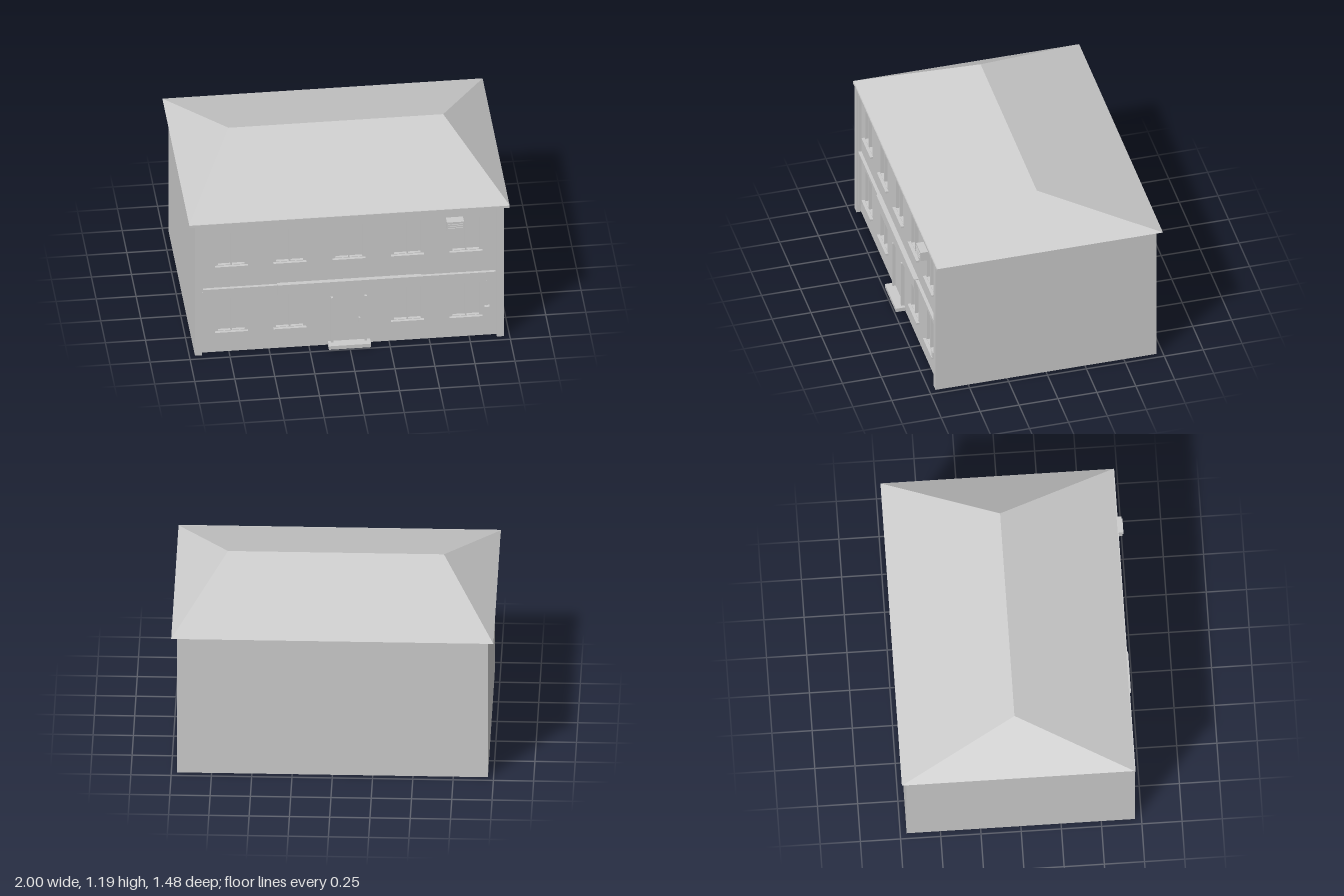
import * as THREE from 'three';

export function createModel() {
  const house = new THREE.Group();
  house.name = 'house';
  const grey = new THREE.MeshStandardMaterial({ color: 0xcccccc });
  grey.name = 'plain grey';

  const add = (name, geometry, parent = house) => {
    const mesh = new THREE.Mesh(geometry, grey);
    mesh.name = name;
    parent.add(mesh);
    return mesh;
  };
  // Box given by its limits on each axis
  const box = (name, x0, x1, y0, y1, z0, z1, parent) => {
    const m = add(name, new THREE.BoxGeometry(x1 - x0, y1 - y0, z1 - z0), parent);
    m.position.set((x0 + x1) / 2, (y0 + y1) / 2, (z0 + z1) / 2);
    return m;
  };

  const W = 0.965, EAVE = 0.965, BACK = -0.71, PANE = 0.66, WALL = 0.68, PIER = 0.71;

  // Main body; its front face also forms the recessed window panes
  box('body', -W, W, 0, EAVE, BACK, PANE);

  // Front wall with paired window openings
  const windows = [];
  for (const x of [-0.735, -0.37, 0, 0.365, 0.73]) {
    windows.push([x, 0.64]);
    if (x !== 0) windows.push([x, 0.155]);
  }
  const rect = (path, x0, x1, y0, y1) =>
    path.moveTo(x0, y0).lineTo(x1, y0).lineTo(x1, y1).lineTo(x0, y1).closePath();
  const wall = rect(new THREE.Shape(), -W, W, 0, EAVE);
  for (const [x, y] of windows) {
    for (const s of [-1, 1]) {
      const a = x + s * 0.005, b = x + s * 0.084;
      wall.holes.push(rect(new THREE.Path(), Math.min(a, b), Math.max(a, b), y, y + 0.235));
    }
    box('windowSill', x - 0.103, x + 0.103, y - 0.016, y - 0.003, WALL, 0.7);
  }
  add('frontWall', new THREE.ExtrudeGeometry(wall, { depth: WALL - PANE, bevelEnabled: false }))
    .position.z = PANE;

  // Corner piers with slim inner trims
  for (const s of [-1, 1]) {
    const pier = box('cornerPier', -0.0225, 0.0225, 0, EAVE - 0.015, WALL, PIER);
    pier.position.x = s * 0.9425;
    for (const [y0, y1] of [[0.06, 0.46], [0.475, 0.945]]) {
      const trim = box('innerTrim', -0.003, 0.003, y0, y1, WALL, 0.7);
      trim.position.x = s * 0.917;
    }
  }

  // Floor band, top band and canopy board
  box('floorBand', -0.92, 0.92, 0.461, 0.475, WALL, 0.7);
  box('topBand', -0.92, 0.92, 0.945, EAVE, WALL, 0.7);
  box('canopyBoard', -0.45, 0.45, 0.41, 0.481, WALL, PIER);

  // Entrance
  box('doorStep', -0.132, 0.132, 0, 0.026, WALL, 0.74);
  for (const x of [-0.107, 0.103]) box('doorPost', x - 0.007, x + 0.007, 0.026, 0.355, WALL, 0.7);
  box('doorHandle', 0.06, 0.07, 0.165, 0.192, WALL, 0.692);

  // Cooling unit with slats
  const unit = new THREE.Group();
  unit.name = 'coolingUnit';
  house.add(unit);
  box('unitCase', 0.605, 0.712, 0.822, 0.886, WALL, 0.738, unit);
  for (const y of [0.838, 0.852, 0.866]) box('unitSlat', 0.613, 0.704, y, y + 0.006, 0.738, 0.743, unit);

  // Meter box with its cable
  box('meterBox', 0.845, 0.877, 0.178, 0.22, WALL, 0.703);
  box('meterCable', 0.858, 0.863, 0.22, 0.4, WALL, 0.686);

  // Hipped roof: eave corners 0-3, ridge ends 4-5
  const p = [[-1, EAVE, 0.705], [1, EAVE, 0.705], [1, EAVE, -0.742], [-1, EAVE, -0.742],
    [-0.67, 1.193, -0.02], [0.67, 1.193, -0.02]];
  const faces = [[0, 1, 5], [0, 5, 4], [1, 2, 5], [2, 3, 4], [2, 4, 5], [3, 0, 4], [0, 3, 2], [0, 2, 1]];
  const roof = new THREE.BufferGeometry();
  roof.setAttribute('position', new THREE.Float32BufferAttribute(faces.flat().flatMap((i) => p[i]), 3));
  roof.computeVertexNormals();
  add('roof', roof);

  // Gutter along the front eave
  box('gutter', -1, 1, 0.948, EAVE, 0.695, 0.711);

  return house;
}
